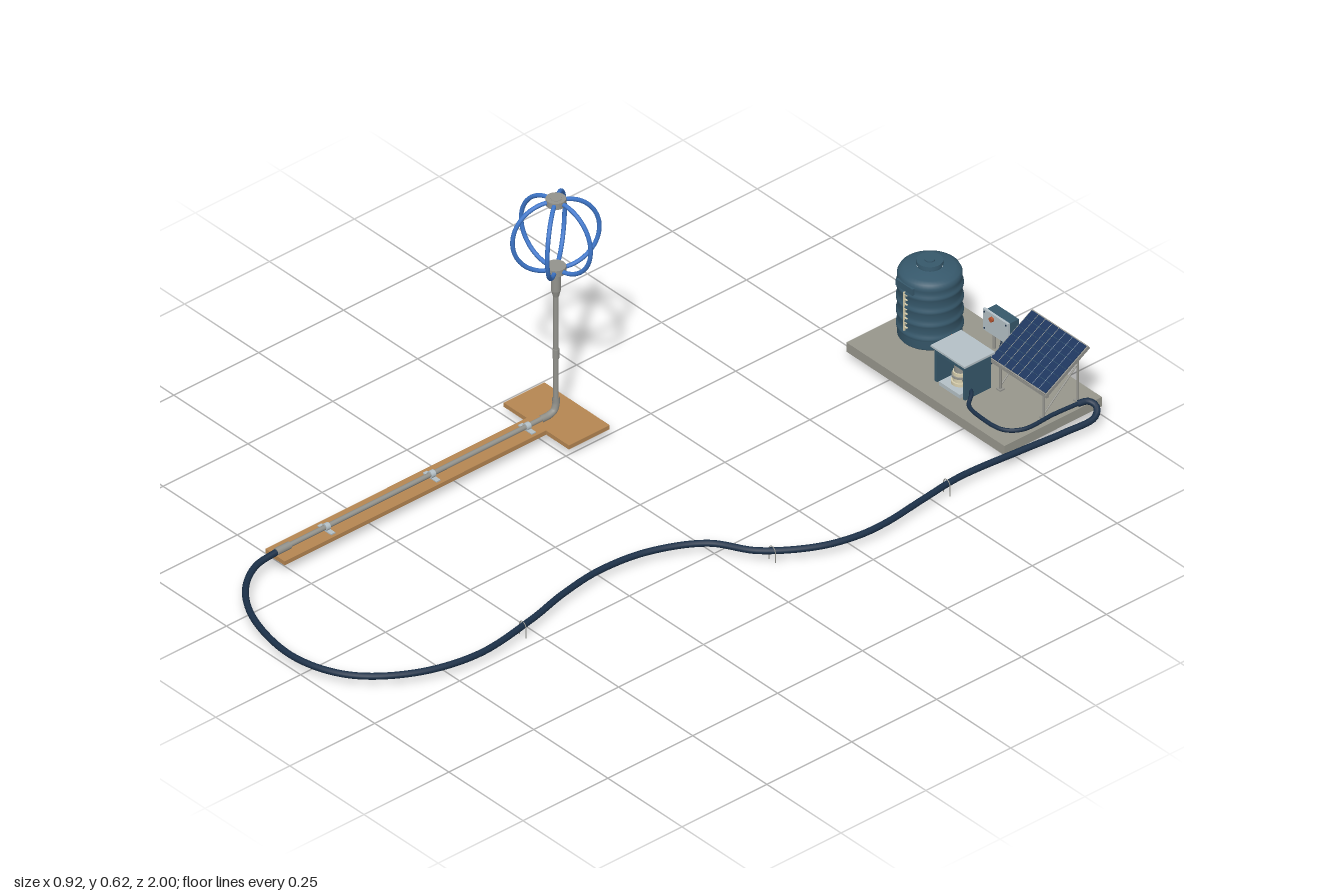
import * as THREE from 'three';

const mat = (name, color) => { const m = new THREE.MeshStandardMaterial({ color }); m.name = name; return m; };
const V = (a) => new THREE.Vector3(...a);

export function createModel() {
  const teal = mat('teal plastic', 0x36586b);
  const navy = mat('navy hose', 0x1b3048);
  const concrete = mat('concrete', 0x97968c);
  const metal = mat('grey metal', 0x93938d);
  const wood = mat('wood', 0xb58652);
  const blue = mat('blue tube', 0x3f78cc);
  const cell = mat('solar cell', 0x1b345c);
  const pale = mat('pale cover', 0xb4c0c6);
  const red = mat('copper red', 0xb4532e);
  const cream = mat('cream', 0xd8cfae);

  const root = new THREE.Group();
  root.name = 'mistingSystem';
  const group = (name, x = 0, y = 0, z = 0) => {
    const g = new THREE.Group();
    g.name = name;
    g.position.set(x, y, z);
    root.add(g);
    return g;
  };
  const add = (parent, name, geo, m, x = 0, y = 0, z = 0) => {
    const mesh = new THREE.Mesh(geo, m);
    mesh.name = name;
    mesh.position.set(x, y, z);
    parent.add(mesh);
    return mesh;
  };
  // Box given by its limits
  const box = (p, name, m, x0, x1, y0, y1, z0, z1) =>
    add(p, name, new THREE.BoxGeometry(x1 - x0, y1 - y0, z1 - z0), m, (x0 + x1) / 2, (y0 + y1) / 2, (z0 + z1) / 2);
  // Round bar between two points
  const rod = (p, name, m, a, b, r, sides = 12) => {
    const A = V(a), B = V(b), d = B.clone().sub(A);
    const o = add(p, name, new THREE.CylinderGeometry(r, r, d.length(), sides), m, ...A.clone().add(B).multiplyScalar(0.5).toArray());
    o.quaternion.setFromUnitVectors(new THREE.Vector3(0, 1, 0), d.normalize());
    return o;
  };
  const tube = (p, name, m, pts, r, n = 40, sides = 10) =>
    add(p, name, new THREE.TubeGeometry(new THREE.CatmullRomCurve3(pts.map(V), false, 'centripetal'), n, r, sides), m);

  // Ground slab and boards
  box(root, 'concreteSlab', concrete, -0.12, 0.413, 0.025, 0.05, -1, -0.712);
  box(root, 'longBoard', wood, -0.382, -0.317, 0.024, 0.035, 0, 0.77);
  box(root, 'crossBoard', wood, -0.46, -0.24, 0.024, 0.035, -0.12, 0);

  // Water tank with ribbed wall
  const tank = group('waterTank', -0.027, 0.05, -0.877);
  const profile = [[0, 0], [0.07, 0], [0.073, 0.004]];
  for (const y of [0.03, 0.066, 0.102, 0.138])
    profile.push([0.073, y - 0.006], [0.0755, y - 0.003], [0.0755, y + 0.003], [0.073, y + 0.006], [0.0715, y + 0.014]);
  profile.push([0.073, 0.158], [0.073, 0.166], [0.069, 0.174], [0.058, 0.179], [0.034, 0.184], [0.03, 0.185]);
  add(tank, 'tankBody', new THREE.LatheGeometry(profile.map(p => new THREE.Vector2(...p)), 48), teal);
  add(tank, 'lidNeck', new THREE.CylinderGeometry(0.027, 0.028, 0.012, 32), teal, 0, 0.187, 0);
  add(tank, 'lid', new THREE.CylinderGeometry(0.03, 0.031, 0.008, 32), teal, 0, 0.193, 0);
  add(tank, 'lidCap', new THREE.CylinderGeometry(0.012, 0.012, 0.004, 20), teal, 0, 0.198, 0);
  box(tank, 'namePlate', teal, -0.028, 0.028, 0.148, 0.165, 0.069, 0.076);
  box(tank, 'levelGauge', cream, -0.0015, 0.0015, 0.04, 0.144, 0.073, 0.0775);
  for (let i = 0; i < 8; i++) box(tank, 'gaugeTick', cream, 0.001, 0.01, 0.05 + i * 0.0125, 0.0515 + i * 0.0125, 0.073, 0.077);

  // Outlet pipe from tank to pump
  const outlet = group('outletPipe');
  rod(outlet, 'pipe', red, [0.04, 0.08, -0.877], [0.1, 0.08, -0.872], 0.005);
  rod(outlet, 'valve', red, [0.062, 0.08, -0.876], [0.08, 0.08, -0.874], 0.008);
  rod(outlet, 'valveHandle', red, [0.071, 0.08, -0.875], [0.071, 0.094, -0.875], 0.003);
  tube(outlet, 'suctionHose', navy, [[0.1, 0.08, -0.872], [0.125, 0.078, -0.87], [0.14, 0.075, -0.85], [0.16, 0.075, -0.81]], 0.005, 24);

  // Open-fronted pump housing
  const house = group('pumpHousing');
  box(house, 'sideWall', teal, 0.121, 0.129, 0.05, 0.142, -0.838, -0.762);
  box(house, 'sideWall', teal, 0.216, 0.224, 0.05, 0.142, -0.838, -0.762);
  box(house, 'backWall', teal, 0.129, 0.216, 0.05, 0.142, -0.838, -0.831);
  box(house, 'frontBeam', teal, 0.129, 0.216, 0.127, 0.142, -0.769, -0.762);
  box(house, 'cover', pale, 0.115, 0.23, 0.142, 0.147, -0.845, -0.755);
  box(house, 'basePlate', pale, 0.14, 0.21, 0.05, 0.06, -0.825, -0.758);
  const cyl = (name, m, r, y0, y1) => rod(house, name, m, [0.173, y0, -0.792], [0.173, y1, -0.792], r, 20);
  cyl('pumpFoot', cream, 0.021, 0.06, 0.068);
  cyl('pumpBody', cream, 0.017, 0.068, 0.092);
  cyl('pumpRing', metal, 0.02, 0.079, 0.084);
  cyl('motor', metal, 0.014, 0.092, 0.116);
  cyl('motorCap', navy, 0.011, 0.116, 0.122);
  tube(house, 'powerCable', red, [[0.173, 0.12, -0.79], [0.193, 0.119, -0.785], [0.203, 0.1, -0.785], [0.204, 0.07, -0.79]], 0.0025, 24, 8);

  // Control box on two posts
  const control = group('controlBox');
  box(control, 'case', teal, 0.102, 0.178, 0.108, 0.156, -0.96, -0.93);
  box(control, 'frontPlate', pale, 0.098, 0.182, 0.104, 0.16, -0.93, -0.924);
  rod(control, 'button', red, [0.13, 0.147, -0.925], [0.13, 0.147, -0.918], 0.006);
  for (const x of [0.104, 0.176]) for (const y of [0.11, 0.154])
    rod(control, 'screw', navy, [x, y, -0.925], [x, y, -0.922], 0.002, 8);
  for (const x of [0.112, 0.168]) rod(control, 'post', metal, [x, 0.05, -0.945], [x, 0.11, -0.945], 0.004);
  tube(control, 'cable', navy, [[0.14, 0.11, -0.945], [0.142, 0.08, -0.94], [0.155, 0.06, -0.91], [0.165, 0.058, -0.87], [0.17, 0.075, -0.83]], 0.0025, 30, 8);
  tube(control, 'panelCable', red, [[0.16, 0.11, -0.945], [0.18, 0.075, -0.94], [0.22, 0.07, -0.92], [0.27, 0.09, -0.91], [0.31, 0.15, -0.91]], 0.002, 30, 8);

  // Tilted solar panel
  const solar = group('solarPanel', 0.315, 0.163, -0.902);
  solar.rotation.x = 0.54;
  box(solar, 'frame', metal, -0.095, 0.095, -0.005, 0.004, -0.073, 0.073);
  box(solar, 'cells', cell, -0.092, 0.092, 0.004, 0.006, -0.07, 0.07);
  for (let i = 1; i < 8; i++) box(solar, 'cellLine', i < 5 ? cream : pale, -0.0923 + i * 0.023, -0.0917 + i * 0.023, 0.006, 0.0065, -0.07, 0.07);
  for (let i = 1; i < 6; i++) box(solar, 'cellLine', teal, -0.092, 0.092, 0.006, 0.0063, -0.0705 + i * 0.0233, -0.0697 + i * 0.0233);
  box(solar, 'junctionBox', navy, -0.02, 0.02, -0.015, -0.005, -0.035, -0.01);

  // Panel stand
  const stand = group('panelStand');
  for (const x of [0.242, 0.388]) {
    rod(stand, 'frontLeg', metal, [x, 0.05, -0.85], [x, 0.127, -0.85], 0.003);
    rod(stand, 'rearLeg', metal, [x, 0.05, -0.95], [x, 0.186, -0.95], 0.003);
    rod(stand, 'brace', metal, [x, 0.06, -0.85], [x, 0.15, -0.95], 0.002);
    for (const z of [-0.85, -0.95]) box(stand, 'foot', metal, x - 0.007, x + 0.007, 0.05, 0.053, z - 0.007, z + 0.007);
  }
  box(stand, 'lowerRail', metal, 0.22, 0.41, 0.119, 0.126, -0.846, -0.838);
  rod(stand, 'rearRail', metal, [0.242, 0.16, -0.95], [0.388, 0.16, -0.95], 0.0025);

  // Long hose from pump to mast pipe
  tube(root, 'pumpHose', navy, [[0.19, 0.075, -0.79], [0.23, 0.068, -0.775], [0.25, 0.057, -0.75], [0.3, 0.056, -0.74], [0.37, 0.056, -0.746],
    [0.398, 0.056, -0.78], [0.4, 0.057, -0.87], [0.405, 0.057, -0.945]], 0.005, 70);
  tube(root, 'supplyHose', navy, [[0.404, 0.057, -0.935], [0.412, 0.057, -0.96], [0.43, 0.05, -0.968], [0.446, 0.036, -0.95], [0.44, 0.03, -0.865],
    [0.428, 0.029, -0.75], [0.414, 0.028, -0.58], [0.426, 0.028, -0.46], [0.44, 0.028, -0.34], [0.437, 0.028, -0.26], [0.41, 0.028, -0.165],
    [0.335, 0.028, -0.055], [0.24, 0.028, 0.01], [0.178, 0.028, 0.13], [0.161, 0.028, 0.26], [0.176, 0.028, 0.38], [0.205, 0.028, 0.5],
    [0.228, 0.028, 0.68], [0.19, 0.028, 0.83], [0.1, 0.028, 0.945], [-0.03, 0.028, 0.991], [-0.2, 0.028, 0.962], [-0.3, 0.03, 0.9],
    [-0.345, 0.036, 0.83], [-0.348, 0.044, 0.755]], 0.0078, 320, 12);

  // Wire hose pegs
  for (const [x, z] of [[0.211, 0.53], [0.356, -0.078], [0.416, -0.54]])
    tube(root, 'hosePeg', metal, [[x - 0.011, 0.001, z], [x - 0.011, 0.028, z], [x - 0.007, 0.037, z], [x, 0.04, z], [x + 0.007, 0.037, z],
      [x + 0.011, 0.028, z], [x + 0.011, 0.001, z]], 0.0012, 24, 6);

  // Ground pipe, elbow and mast
  const mast = group('mast', -0.348, 0, -0.056);
  rod(mast, 'groundPipe', metal, [0, 0.044, 0.81], [0, 0.044, 0.025], 0.006);
  rod(mast, 'hoseCoupling', metal, [0, 0.044, 0.825], [0, 0.044, 0.785], 0.009);
  tube(mast, 'elbow', metal, [[0, 0.044, 0.045], [0, 0.044, 0.022], [0, 0.05, 0.006], [0, 0.066, 0], [0, 0.085, 0]], 0.0085, 24, 14);
  rod(mast, 'upright', metal, [0, 0.07, 0], [0, 0.4, 0], 0.0062, 16);
  rod(mast, 'joint', metal, [0, 0.19, 0], [0, 0.215, 0], 0.0078, 16);
  add(mast, 'reducer', new THREE.CylinderGeometry(0.011, 0.007, 0.016, 20), metal, 0, 0.366, 0);
  rod(mast, 'collar', metal, [0, 0.374, 0], [0, 0.425, 0], 0.0115, 20);
  for (const z of [0.085, 0.366, 0.676]) {
    box(mast, 'clampFoot', pale, -0.023, 0.023, 0.035, 0.038, z - 0.006, z + 0.006);
    rod(mast, 'clampRing', pale, [0, 0.044, z - 0.006], [0, 0.044, z + 0.006], 0.009, 16);
  }

  // Spherical cage of six bowed tubes
  const cage = group('sprayCage', -0.348, 0.523, -0.056);
  for (const s of [-1, 1]) {
    add(cage, 'hub', new THREE.CylinderGeometry(0.023, 0.023, 0.016, 28), metal, 0, s * 0.091, 0);
    add(cage, 'hubCap', new THREE.CylinderGeometry(0.013, 0.013, 0.006, 20), metal, 0, s * 0.097, 0);
  }
  for (let i = 0; i < 6; i++) {
    const pts = [];
    for (let k = 0; k <= 14; k++) {
      const t = Math.PI * k / 14;
      pts.push([0.014 + 0.088 * Math.sin(t), -0.092 * Math.cos(t), 0]);
    }
    tube(cage, 'bowedTube', blue, pts, 0.0052, 40, 10).rotation.y = (8 + 60 * i) * Math.PI / 180;
  }
  return root;
}
